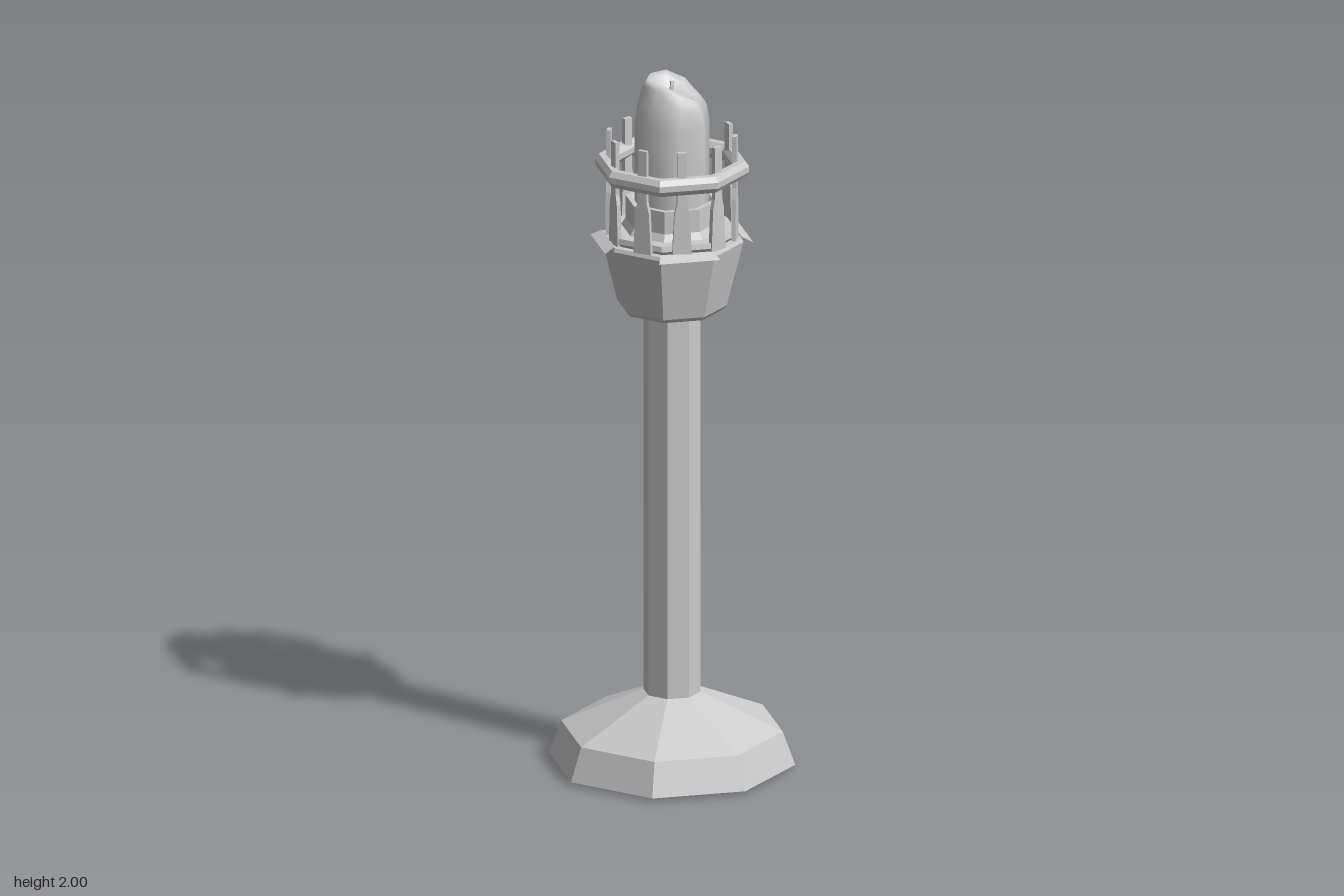
import * as THREE from 'three';

const flat = new THREE.MeshStandardMaterial({ color: 0xcccccc, flatShading: true });
const flatDouble = new THREE.MeshStandardMaterial({ color: 0xcccccc, flatShading: true, side: THREE.DoubleSide });
const smooth = new THREE.MeshStandardMaterial({ color: 0xcccccc });

// Eight-sided turned part from [radius, height] pairs
function turned(points, start = 0) {
  return new THREE.LatheGeometry(points.map(([r, y]) => new THREE.Vector2(r, y)), 8, start);
}

// Horizontal-ish plate fixed along one side of the octagonal cup
function plateGeometry() {
  const corner = (r, y, a) => [r * Math.sin(a), y, r * Math.cos(a)];
  const a = 0, b = -Math.PI / 4;
  const g = new THREE.BufferGeometry();
  g.setAttribute('position', new THREE.Float32BufferAttribute([
    corner(0.195, 1.545, a), corner(0.228, 1.53, a),
    corner(0.228, 1.53, b), corner(0.195, 1.545, b),
  ].flat(), 3));
  g.setIndex([0, 2, 1, 0, 3, 2]);
  g.computeVertexNormals();
  return g;
}

// Upright post, broad at the foot and narrow above
function postGeometry() {
  const s = new THREE.Shape([
    [-0.027, 1.54], [0.027, 1.54], [0.021, 1.66], [0.014, 1.69],
    [0.013, 1.84], [-0.013, 1.84], [-0.014, 1.69], [-0.021, 1.66],
  ].map(([x, y]) => new THREE.Vector2(x, y)));
  const g = new THREE.ExtrudeGeometry(s, { depth: 0.012, bevelEnabled: false });
  return g.translate(0, 0, 0.17);
}

// Candle with a hollow top whose rim sags towards one front corner
function candleGeometry() {
  const g = turned([
    [0.107, 1.55], [0.107, 1.72], [0.107, 1.87], [0.098, 1.935], [0.082, 1.985],
    [0.07, 2], [0.056, 1.985], [0.03, 1.95], [0, 1.94],
  ], Math.PI / 8);
  const p = g.attributes.position;
  for (let i = 0; i < p.count; i++) {
    const x = p.getX(i), y = p.getY(i), z = p.getZ(i);
    const r = Math.hypot(x, z);
    if (y < 1.9 || r < 0.05) continue;
    const sag = Math.max(0, (x + z) / (r * Math.SQRT2));
    p.setY(i, y - 0.055 * sag * (y - 1.9) / 0.1);
  }
  g.computeVertexNormals();
  return g;
}

export function createModel() {
  const model = new THREE.Group();
  const add = (name, geometry, material = flat) => {
    const mesh = new THREE.Mesh(geometry, material);
    mesh.name = name;
    model.add(mesh);
    return mesh;
  };

  // Foot and pole
  add('base', turned([[0, 0], [0.345, 0.01], [0.31, 0.105], [0.08, 0.21], [0, 0.21]]));
  add('pole', turned([[0.08, 0.2], [0.08, 1.34]]));

  // Flared cup with a floor
  add('cup', turned([
    [0, 1.33], [0.142, 1.33], [0.153, 1.342], [0.2, 1.53],
    [0.195, 1.54], [0.165, 1.54], [0, 1.54],
  ]));
  add('cageFloor', turned([[0.165, 1.53], [0.183, 1.55], [0.18, 1.565], [0.145, 1.565], [0, 1.56]]));
  add('candleHolder', turned([[0.145, 1.56], [0.13, 1.585], [0.13, 1.65], [0.115, 1.65], [0.1, 1.63]]));

  // Plates on every second side of the cup
  const plate = plateGeometry();
  for (let i = 0; i < 4; i++) {
    add('rimPlate', plate, flatDouble).rotation.y = i * Math.PI / 2;
  }

  // Cage of posts bound by a ring
  const post = postGeometry();
  for (let i = 0; i < 10; i++) {
    add('cagePost', post).rotation.y = THREE.MathUtils.degToRad(9 + i * 36);
  }
  add('cageRing', turned([
    [0.185, 1.72], [0.205, 1.72], [0.216, 1.735], [0.216, 1.752], [0.205, 1.767],
    [0.185, 1.767], [0.172, 1.752], [0.172, 1.735], [0.185, 1.72],
  ]));

  // Candle and its wick
  add('candle', candleGeometry(), smooth);
  const wickPath = new THREE.CatmullRomCurve3([
    new THREE.Vector3(0, 1.93, 0),
    new THREE.Vector3(-0.003, 1.96, 0.002),
    new THREE.Vector3(0.004, 1.988, -0.004),
  ]);
  add('wick', new THREE.TubeGeometry(wickPath, 4, 0.006, 5), flatDouble);

  return model;
}
